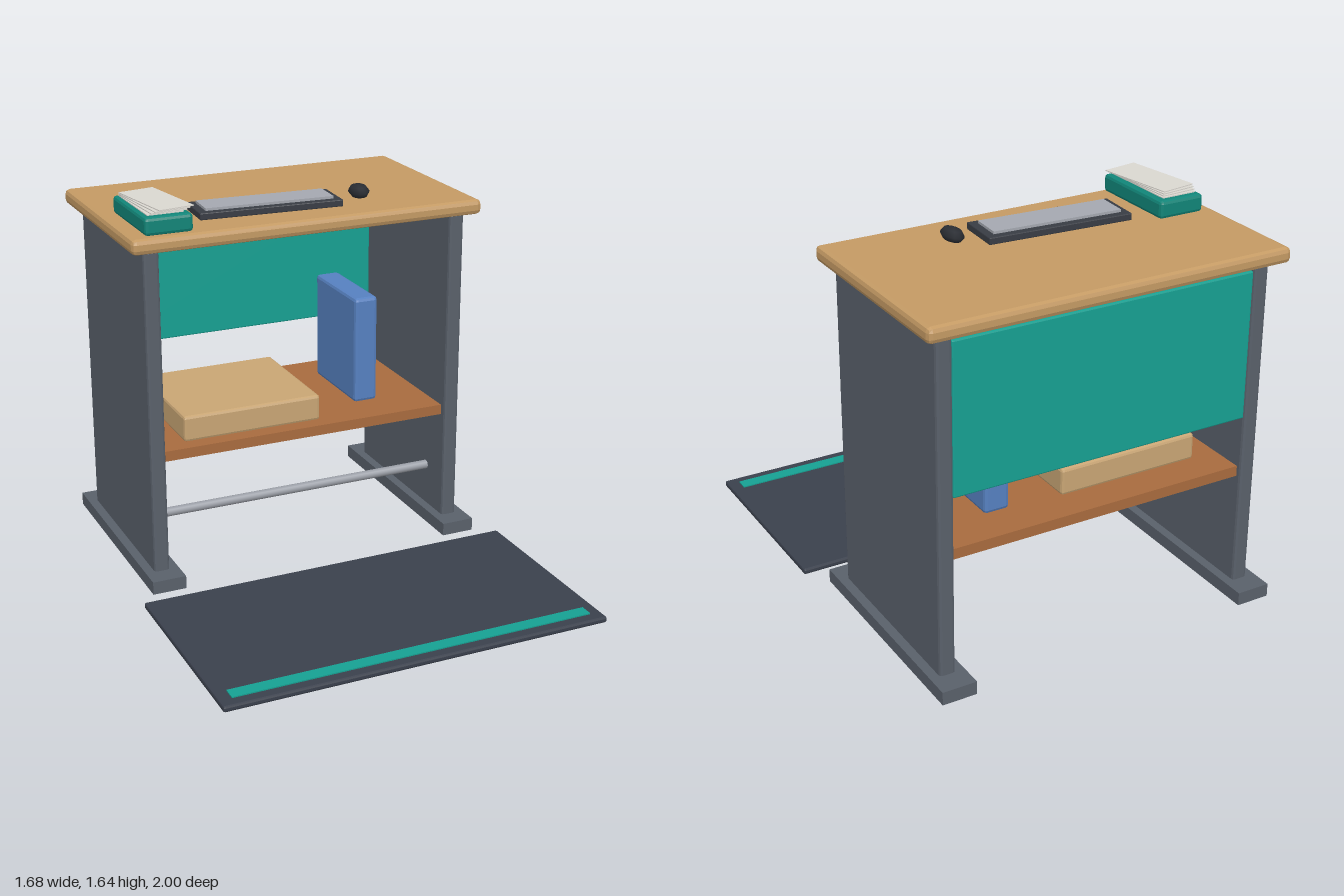
import * as THREE from 'three';
import { RoundedBoxGeometry } from 'three/addons/geometries/RoundedBoxGeometry.js';

const COLORS = {
  wood: 0xc49a64, shelf: 0xa86b3e, steel: 0x59606a, mat: 0x3a404c, teal: 0x16a092,
  tray: 0x118578, blue: 0x5680c0, card: 0xc8a574, metal: 0x9a9ea6, keys: 0xa4a8b0,
  paper: 0xdad7d0, dark: 0x383c44, black: 0x2a2d33,
};
const materials = {};
for (const key in COLORS) materials[key] = new THREE.MeshStandardMaterial({ color: COLORS[key] });

export function createModel() {
  const model = new THREE.Group();
  model.name = 'workDesk';

  const add = (name, geometry, color, parent = model) => {
    const mesh = new THREE.Mesh(geometry, materials[color]);
    mesh.name = name;
    parent.add(mesh);
    return mesh;
  };

  // Box given by its [min, max] on each axis; a bevel above 0 softens the edges
  const box = (name, color, [x0, x1], [y0, y1], [z0, z1], bevel = 0, parent = model) => {
    const w = x1 - x0, h = y1 - y0, d = z1 - z0;
    let geometry = new THREE.BoxGeometry(w, h, d);
    if (bevel > 0) {
      geometry = new RoundedBoxGeometry(w, h, d, 1, bevel);
      geometry.computeVertexNormals();
    }
    const mesh = add(name, geometry, color, parent);
    mesh.position.set((x0 + x1) / 2, (y0 + y1) / 2, (z0 + z1) / 2);
    return mesh;
  };

  // Desk frame
  box('desktop', 'wood', [-0.785, 0.785], [1.47, 1.535], [-0.965, -0.035], 0.02);
  for (const side of [-1, 1]) {
    const label = side > 0 ? 'left' : 'right';
    const c = side * 0.692;
    box(label + 'SidePanel', 'steel', [c - 0.034, c + 0.034], [0.045, 1.472], [-0.905, -0.085], 0.012);
    box(label + 'Foot', 'steel', [c - 0.074, c + 0.074], [0, 0.057], [-1, 0.005]);
  }
  box('modestyPanel', 'teal', [-0.658, 0.658], [0.81, 1.44], [-0.9, -0.865], 0.006);
  box('shelf', 'shelf', [-0.66, 0.66], [0.54, 0.585], [-0.88, -0.12]);
  const rail = add('footRail', new THREE.CylinderGeometry(0.02, 0.02, 1.32, 16), 'metal');
  rail.rotation.z = Math.PI / 2;
  rail.position.set(0, 0.245, -0.25);

  // Things on the shelf
  box('storageBox', 'card', [-0.54, 0.09], [0.585, 0.7], [-0.74, -0.18], 0.012);
  box('binder', 'blue', [0.315, 0.425], [0.585, 1.072], [-0.72, -0.3], 0.015);

  // Paper tray with fanned sheets
  box('paperTray', 'tray', [-0.72, -0.515], [1.537, 1.612], [-0.475, -0.065], 0.014);
  for (let i = 0; i < 4; i++) {
    const sheet = add('paperSheet', new THREE.BoxGeometry(0.157, 0.004, 0.345), 'paper');
    sheet.position.set(-0.622 + i * 0.005, 1.615 + i * 0.007, -0.272 + i * 0.006);
    sheet.rotation.y = 0.01 + i * 0.05;
  }

  // Keyboard, turned slightly
  const keyboard = new THREE.Group();
  keyboard.name = 'keyboard';
  keyboard.position.set(-0.112, 1.535, -0.296);
  keyboard.rotation.y = -0.057;
  box('keyboardBase', 'dark', [-0.315, 0.315], [0, 0.03], [-0.1, 0.1], 0.004, keyboard);
  box('keyField', 'keys', [-0.282, 0.282], [0.025, 0.041], [-0.069, 0.069], 0, keyboard);
  model.add(keyboard);

  // Mouse
  const mouse = add('mouse', new THREE.SphereGeometry(1, 12, 4), 'black');
  mouse.scale.set(0.042, 0.03, 0.066);
  mouse.rotation.z = 0.15;
  mouse.position.set(0.314, 1.568, -0.275);

  // Floor mat with a coloured stripe
  box('floorMat', 'mat', [-0.84, 0.84], [0, 0.026], [0.1, 1], 0.008);
  box('matStripe', 'teal', [-0.788, 0.788], [0.02, 0.031], [0.895, 0.952]);

  return model;
}
